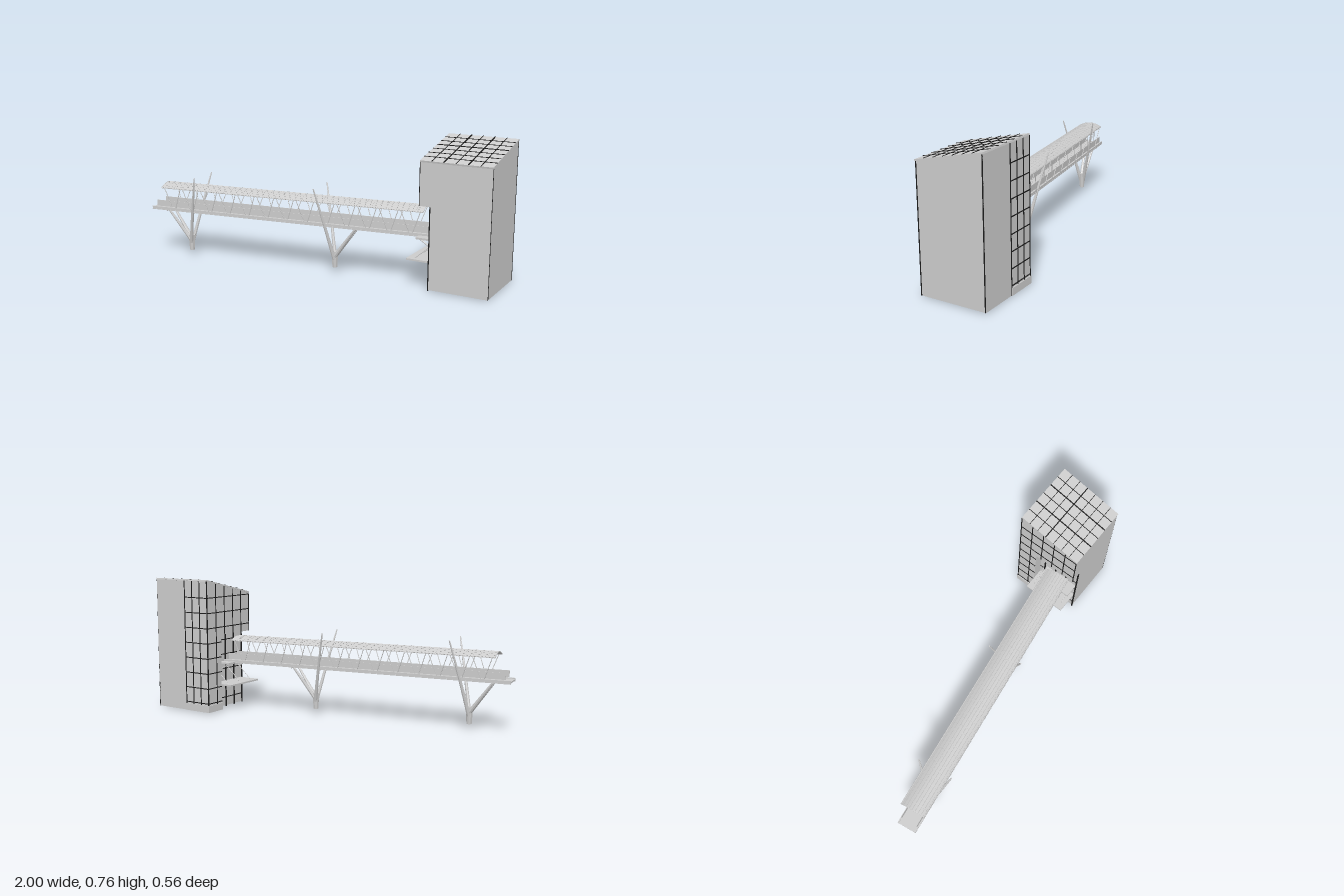
import * as THREE from 'three';

const grey = new THREE.MeshStandardMaterial({ color: 0xcccccc, side: THREE.DoubleSide, flatShading: true });
const dark = new THREE.MeshStandardMaterial({ color: 0x1c1c1c, flatShading: true });
const V = (x, y, z) => new THREE.Vector3(x, y, z);

function add(parent, name, geo, mat = grey) {
  const m = new THREE.Mesh(geo, mat);
  m.name = name;
  parent.add(m);
  return m;
}

// Box given by its minimum and maximum corners
function box(parent, name, a, b, mat) {
  const g = new THREE.BoxGeometry(b[0] - a[0], b[1] - a[1], b[2] - a[2]);
  g.translate((a[0] + b[0]) / 2, (a[1] + b[1]) / 2, (a[2] + b[2]) / 2);
  return add(parent, name, g, mat);
}

// Tapering rod between two points
function rod(parent, name, a, b, r1, r2 = r1, sides = 6, mat = grey) {
  const d = b.clone().sub(a);
  const m = add(parent, name, new THREE.CylinderGeometry(r2, r1, d.length(), sides), mat);
  m.position.copy(a).add(b).multiplyScalar(0.5);
  m.quaternion.setFromUnitVectors(V(0, 1, 0), d.normalize());
  return m;
}

function plate(points, depth) {
  const s = new THREE.Shape(points.map(p => new THREE.Vector2(p[0], p[1])));
  return new THREE.ExtrudeGeometry(s, { depth, bevelEnabled: false });
}

// Tower limits and the entrance recess in its left front corner
const X0 = 0.62, X1 = 0.998, ZB = -0.28, ZF = 0.09, T = 0.006, Y0 = 0.005;
const NX = 0.68, NZ = -0.165, NY = 0.44, GLASS = 0.785;
const topY = z => 0.665 + (ZF - z) * 0.23;

function createTower() {
  const t = new THREE.Group();
  t.name = 'tower';

  // Hollow walls, open underneath
  const sideWall = (name, pts, x) => {
    const g = plate(pts, T);
    g.rotateY(-Math.PI / 2);
    g.translate(x, 0, 0);
    add(t, name, g);
  };
  sideWall('rightWall', [[ZB, Y0], [ZF, Y0], [ZF, topY(ZF)], [ZB, topY(ZB)]], X1);
  sideWall('glazedSideWall', [[ZB, Y0], [NZ, Y0], [NZ, NY], [ZF, NY], [ZF, topY(ZF)], [ZB, topY(ZB)]], X0 + T);
  const front = plate([[NX, Y0], [X1, Y0], [X1, topY(ZF)], [X0, topY(ZF)], [X0, NY], [NX, NY]], T);
  front.translate(0, 0, ZF - T);
  add(t, 'frontWall', front);
  box(t, 'backWall', [X0, Y0, ZB], [X1, topY(ZB), ZB + T]);

  // Recess lining
  box(t, 'recessSideWall', [NX, Y0, NZ], [NX + T, NY, ZF - T]);
  box(t, 'recessBackWall', [X0, Y0, NZ - T], [NX, NY, NZ]);
  box(t, 'recessCeiling', [X0, NY, NZ], [NX, NY + T, ZF]);

  // Glazing bars on the back corner, the left side and in the recess
  const m = 0.0025;
  const bars = new THREE.Group();
  bars.name = 'glazingBars';
  t.add(bars);
  for (let i = 0; i <= 3; i++) {
    const x = X0 + (GLASS - X0) * i / 3;
    box(bars, 'backMullion', [x - m, Y0, ZB - m], [x + m, topY(ZB), ZB], dark);
  }
  for (let i = 0; i <= 5; i++) {
    const z = ZB + (ZF - ZB) * i / 5, inner = z > NZ;
    box(bars, 'sideMullion', [X0 - m, inner ? NY : Y0, z - m], [X0, topY(z), z + m], dark);
    if (inner) box(bars, 'recessMullion', [NX - 2 * m, 0, z - 2 * m], [NX, NY, z + m], dark);
  }
  for (let y = 0.055; y < 0.74; y += 0.086) {
    box(bars, 'backTransom', [X0, y - m, ZB - m], [GLASS, y + m, ZB], dark);
    const end = y < NY ? NZ : Math.min(ZF, ZF - (y - 0.665) / 0.23);
    box(bars, 'sideTransom', [X0 - m, y - m, ZB], [X0, y + m, end], dark);
    if (y < NY) box(bars, 'recessTransom', [NX - m, y - m, NZ], [NX, y + m, ZF], dark);
  }

  // Dark joints at the right-hand corners
  for (const z of [ZF - 0.003, ZB + 0.003])
    box(t, 'cornerJoint', [X1 - 0.004, Y0, z - 0.003], [X1 + 0.001, topY(z), z + 0.003], dark);

  // Plinth around the glazed corner
  box(t, 'backPlinth', [X0 - 0.004, Y0, ZB - 0.005], [GLASS, 0.045, ZB]);
  box(t, 'sidePlinth', [X0 - 0.005, Y0, ZB], [X0, 0.045, NZ]);

  // Sloping roof with a grid of battens
  const roof = new THREE.Group();
  roof.name = 'towerRoof';
  roof.position.set((X0 + X1) / 2, topY((ZB + ZF) / 2), (ZB + ZF) / 2);
  roof.rotation.x = Math.atan(0.23);
  t.add(roof);
  const w = 0.191, l = 0.192;
  box(roof, 'roofSlab', [-w, 0, -l], [w, 0.009, l]);
  for (let i = 1; i < 6; i++) {
    const x = -w + 2 * w * i / 6, h = i % 2 ? 0.0015 : 0.003;
    box(roof, 'roofBatten', [x - h, 0.009, -l], [x + h, 0.0115, l], dark);
  }
  for (let i = 1; i < 7; i++) {
    const z = -l + 2 * l * i / 7, h = i === 3 ? 0.003 : 0.0015;
    box(roof, 'roofCrossBatten', [-w, 0.009, z - h], [w, 0.0115, z + h], dark);
  }

  // Entrance canopy hung on tie rods
  box(t, 'canopy', [0.55, 0.145, NZ], [NX, 0.154, 0.085]);
  for (const z of [-0.14, -0.04, 0.06])
    rod(t, 'canopyTie', V(0.59, 0.154, z), V(NX, 0.235, z), 0.002);
  box(t, 'landing', [0.6, 0.262, -0.12], [NX, 0.272, 0.085]);
  for (const z of [-0.1, 0.07])
    rod(t, 'landingBracket', V(0.615, 0.264, z), V(NX, 0.225, z), 0.004);
  return t;
}

// Pylon in bridge space; dir is the direction in which the masts lean
function createPylon(s, dir) {
  const p = new THREE.Group();
  p.name = 'pylon';
  p.position.x = s;
  const base = add(p, 'pylonStem', new THREE.CylinderGeometry(0.02, 0.0145, 0.09, 8));
  base.position.y = 0.075;
  for (const k of [-1, 1]) {
    rod(p, 'mast', V(0, 0.075, k * 0.008), V(dir * 0.042, 0.28, k * 0.054), 0.011, 0.008, 8);
    rod(p, 'mastTip', V(dir * 0.042, 0.28, k * 0.054), V(dir * 0.086, 0.477, k * 0.098), 0.008, 0.0035, 8);
    rod(p, 'deckBranch', V(0, 0.09, k * 0.006), V(-dir * 0.13, 0.266, k * 0.028), 0.012, 0.006, 8);
  }
  rod(p, 'deckCrossBeam', V(dir * 0.042, 0.262, -0.055), V(dir * 0.042, 0.262, 0.055), 0.005);
  rod(p, 'branchCrossBeam', V(-dir * 0.13, 0.263, -0.05), V(-dir * 0.13, 0.263, 0.05), 0.004);
  return p;
}

function createBridge() {
  const b = new THREE.Group();
  b.name = 'bridge';
  b.position.z = 0.075;
  b.rotation.y = 0.141;

  // Deck with edge beams, parapets and handrails
  box(b, 'deck', [-1.002, 0.27, -0.053], [0.69, 0.278, 0.053]);
  for (const k of [-1, 1]) {
    const edge = k * 0.0515;
    box(b, 'lowerEdgeBeam', [-1.002, 0.265, edge - 0.003], [0.69, 0.27, edge + 0.003]);
    box(b, 'upperEdgeBeam', [-1.002, 0.278, edge - 0.003], [0.69, 0.283, edge + 0.003]);
    box(b, 'parapet', [-0.972, 0.286, k * 0.047 - 0.0015], [0.66, 0.321, k * 0.047 + 0.0015]);
    // Leaning lattice struts
    const n = 13, start = -0.915, step = 1.53 / n;
    for (let i = 0; i < n; i++) {
      const s = start + step * (i + 0.5);
      for (const d of [-1, 1])
        rod(b, 'latticeStrut', V(s + d * 0.008, 0.278, k * 0.052), V(s + d * step * 0.45, 0.402, k * 0.067), 0.0022, 0.0022, 5);
    }
    rod(b, 'eavesBeam', V(-0.925, 0.402, k * 0.067), V(0.625, 0.402, k * 0.067), 0.0035);
  }

  // Shallow vaulted roof, with ribs across and purlins along
  const half = 0.071, rise = 0.022, eave = 0.4;
  const roofY = z => eave + rise * (1 - (z / half) ** 2);
  const strip = lift => {
    const pts = [];
    for (let i = 0; i <= 12; i++) { const z = -half + half * i / 6; pts.push([z, roofY(z) + lift]); }
    for (let i = 12; i >= 0; i--) { const z = -half + half * i / 6; pts.push([z, roofY(z) - 0.003]); }
    return pts;
  };
  const vault = (name, lift, s0, len) => {
    const g = plate(strip(lift), len);
    g.rotateY(-Math.PI / 2);
    g.translate(s0 + len, 0, 0);
    add(b, name, g);
  };
  vault('vaultedRoof', 0, -0.925, 1.55);
  for (let i = 0; i <= 39; i++) vault('roofRib', 0.0016, -0.925 + i * 1.5475 / 39, 0.0025);
  for (let i = -4; i <= 4; i++) {
    const z = i * half / 4.1;
    rod(b, 'purlin', V(-0.925, roofY(z), z), V(0.625, roofY(z), z), 0.0016, 0.0016, 4);
  }

  // Two mirrored pylons
  b.add(createPylon(-0.777, 1), createPylon(0.116, -1));
  return b;
}

export function createModel() {
  const model = new THREE.Group();
  model.name = 'footbridgeWithTower';
  model.add(createTower(), createBridge());
  return model;
}
